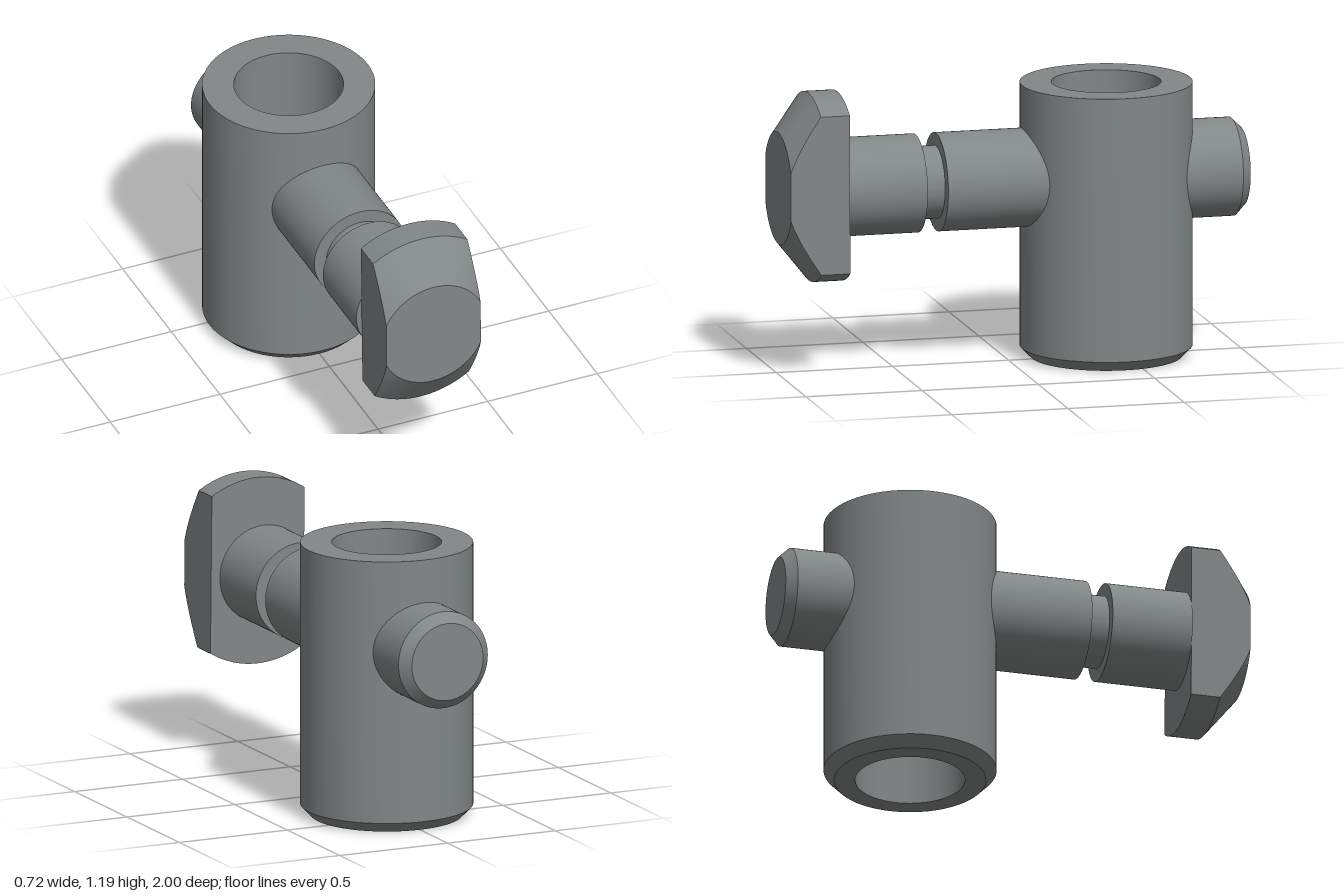
import * as THREE from 'three';
import { toCreasedNormals } from 'three/addons/utils/BufferGeometryUtils.js';

const steel = new THREE.MeshStandardMaterial({ color: 0x828787 });
steel.name = 'grey steel';

function addMesh(group, name, geometry) {
  const mesh = new THREE.Mesh(toCreasedNormals(geometry, 0.5), steel);
  mesh.name = name;
  group.add(mesh);
  return mesh;
}

// Turned part; profile is [radius, height] with the outside running upwards
function turned(profile) {
  return new THREE.LatheGeometry(profile.map(([r, h]) => new THREE.Vector2(r, h)), 96);
}

// Round head with a conical front, cut by two parallel flats at x = +-halfWidth
function headGeometry(halfWidth, back, shoulder, front, outerR, frontR) {
  const arcSteps = 32, coneSteps = 12;
  const stations = [[back, outerR]];
  for (let i = 0; i <= coneSteps; i++) {
    const t = i / coneSteps;
    stations.push([shoulder + (front - shoulder) * t, outerR + (frontR - outerR) * t]);
  }
  // Each loop: upper arc from right to left, then lower arc from left to right
  const loops = stations.map(([z, r]) => {
    const limit = Math.asin(halfWidth / r), loop = [];
    for (const side of [1, -1]) {
      for (let i = 0; i <= arcSteps; i++) {
        const a = limit * (1 - 2 * i / arcSteps) * side;
        loop.push([r * Math.sin(a), side * r * Math.cos(a), z]);
      }
    }
    return loop;
  });
  const n = loops[0].length, last = loops.length - 1;
  const positions = [];
  const tri = (...corners) => corners.forEach((c) => positions.push(...c));
  for (let k = 0; k < n; k++) {
    const m = (k + 1) % n;
    for (let i = 0; i < last; i++) {
      tri(loops[i][k], loops[i][m], loops[i + 1][m]);
      tri(loops[i][k], loops[i + 1][m], loops[i + 1][k]);
    }
    tri([0, 0, front], loops[last][k], loops[last][m]);
    tri([0, 0, back], loops[0][m], loops[0][k]);
  }
  const geometry = new THREE.BufferGeometry();
  geometry.setAttribute('position', new THREE.Float32BufferAttribute(positions, 3));
  return geometry;
}

export function createModel() {
  const group = new THREE.Group();
  group.name = 'crossPinFastener';

  // Upright sleeve with an open bore and a chamfered foot
  const sleeve = addMesh(group, 'sleeve', turned([
    [0.229, 0], [0.317, 0], [0.361, 0.045], [0.361, 1.167], [0.229, 1.167], [0.229, 0],
  ]));
  sleeve.position.z = -0.42;

  // Pin halves end inside the sleeve wall, leaving the bore clear
  const pinY = 0.777, pinR = 0.207, neckR = 0.153;
  const frontPin = addMesh(group, 'groovedFrontPin', turned([
    [0, -0.155], [pinR, -0.155], [pinR, 0.312], [neckR, 0.312],
    [neckR, 0.4], [pinR, 0.4], [pinR, 0.745], [0, 0.745],
  ]).rotateX(Math.PI / 2));
  frontPin.position.y = pinY;

  const rearPin = addMesh(group, 'chamferedRearPin', turned([
    [0, -1], [0.165, -1], [pinR, -0.958], [pinR, -0.685], [0, -0.685],
  ]).rotateX(Math.PI / 2));
  rearPin.position.y = pinY;

  // Flat-sided head, slightly offset and turned from the pin axis
  const head = addMesh(group, 'flatSidedHead',
    headGeometry(0.215, 0.745, 0.87, 1, 0.399, 0.237));
  head.position.set(0.032, 0.793, 0);
  head.rotation.z = 0.01;

  return group;
}
